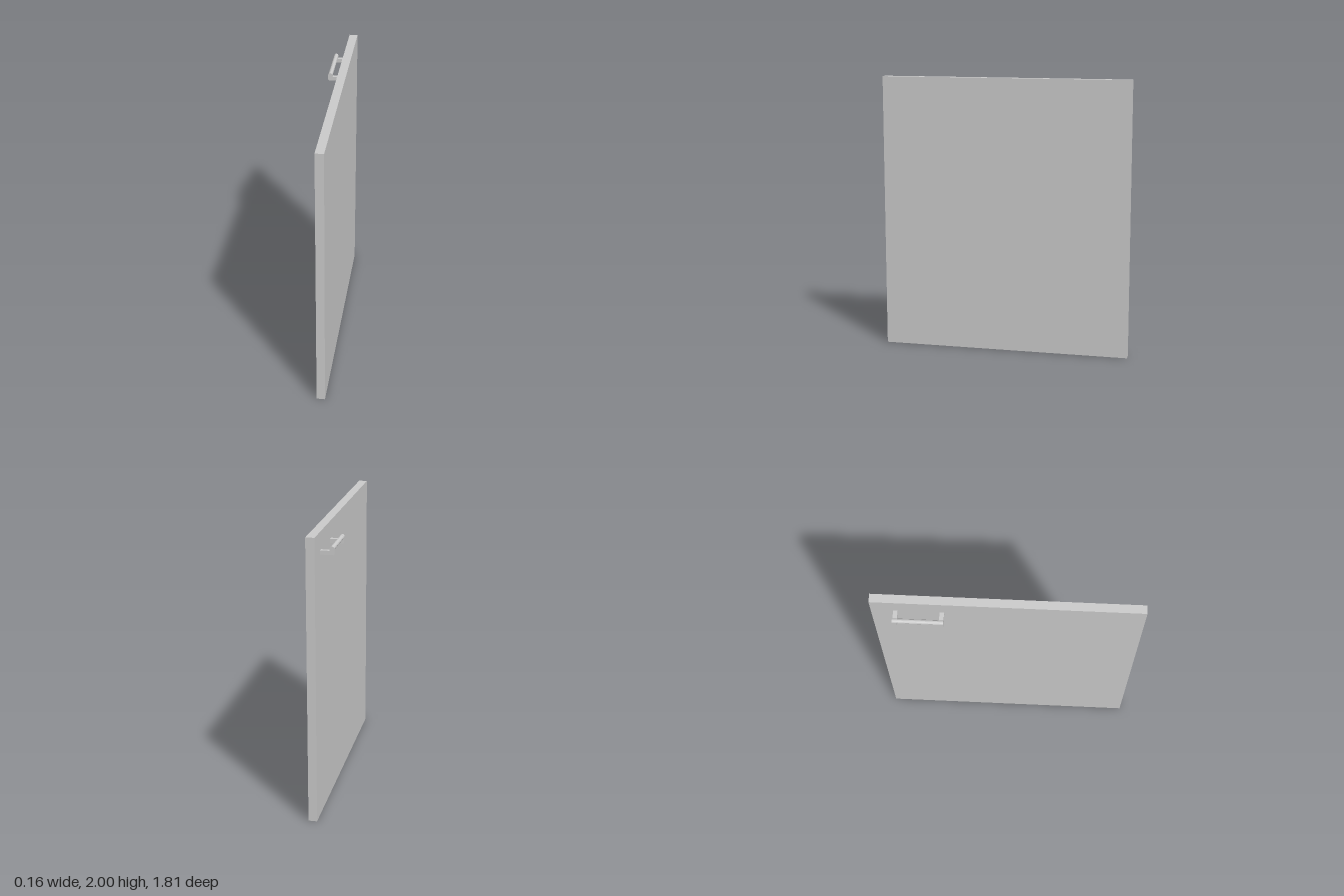
import * as THREE from 'three';

const material = new THREE.MeshStandardMaterial({ color: 0xcccccc, flatShading: true });

// Handle end: a short arm from the door, turning up to a rounded tip
function armGeometry(depth) {
  const s = new THREE.Shape();
  s.moveTo(0.015, 1.852);
  s.lineTo(0.015, 1.88);
  s.lineTo(-0.048, 1.88);
  s.lineTo(-0.048, 1.893);
  s.absarc(-0.064, 1.893, 0.016, 0, Math.PI, false);
  s.lineTo(-0.08, 1.858);
  s.lineTo(-0.074, 1.852);
  s.closePath();
  return new THREE.ExtrudeGeometry(s, { depth, bevelEnabled: false, curveSegments: 8 });
}

export function createModel() {
  const group = new THREE.Group();

  // Flat door panel
  const panel = new THREE.Mesh(new THREE.BoxGeometry(0.06, 2, 1.814), material);
  panel.name = 'doorPanel';
  panel.position.set(0.046, 1, 0);
  group.add(panel);

  // Pull handle: two arms joined by a round bar
  const handle = new THREE.Group();
  handle.name = 'handle';
  const zStart = -0.757, zEnd = -0.42, armDepth = 0.03;
  for (const [name, z] of [['rearArm', zStart], ['frontArm', zEnd - armDepth]]) {
    const arm = new THREE.Mesh(armGeometry(armDepth), material);
    arm.name = name;
    arm.position.z = z;
    handle.add(arm);
  }
  const length = zEnd - zStart - 2 * armDepth;
  const bar = new THREE.Mesh(new THREE.CylinderGeometry(0.016, 0.016, length, 16), material);
  bar.name = 'gripBar';
  bar.rotation.x = Math.PI / 2;
  bar.position.set(-0.064, 1.893, (zStart + zEnd) / 2);
  handle.add(bar);
  group.add(handle);

  return group;
}
